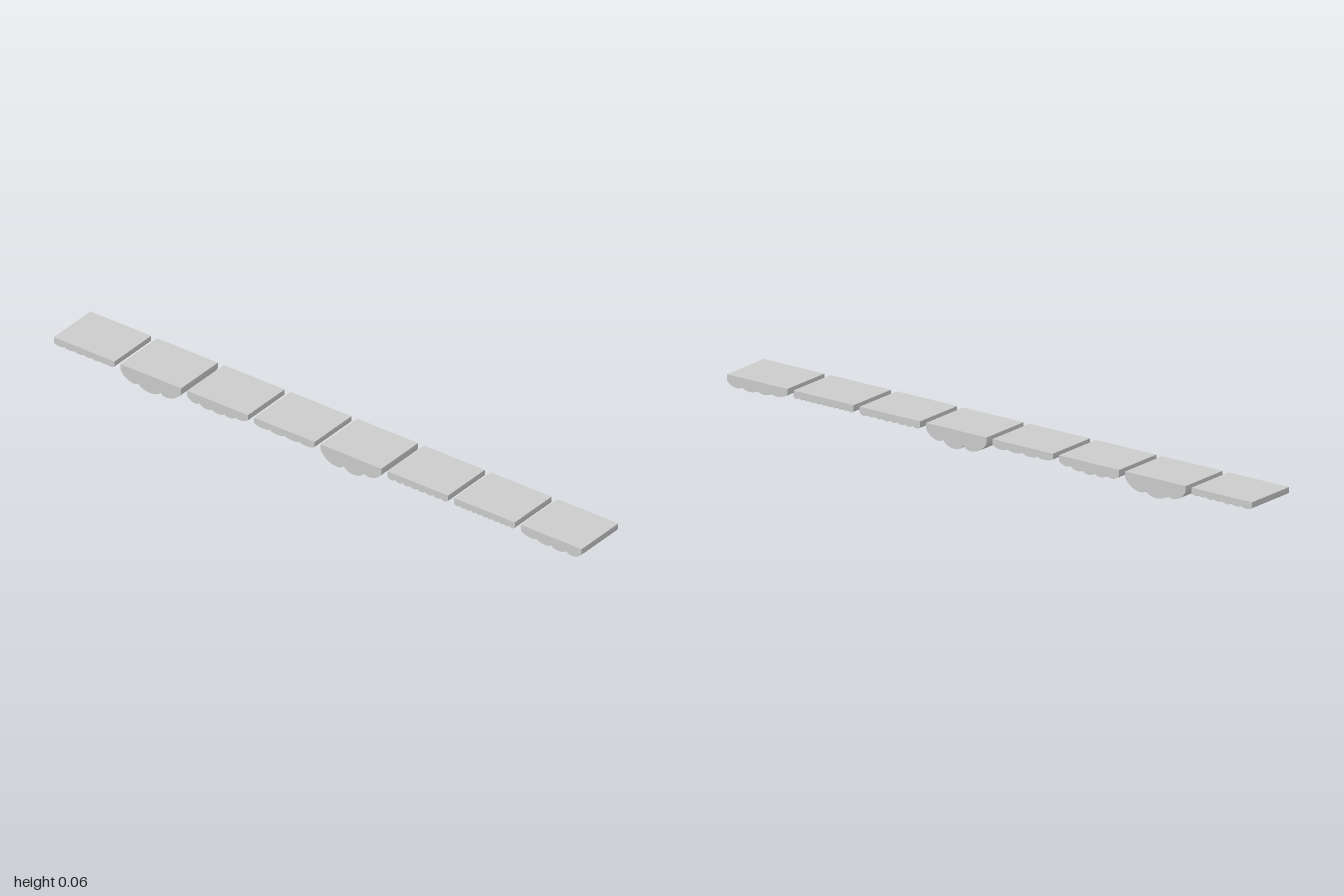
import * as THREE from 'three';
import { toCreasedNormals } from 'three/addons/utils/BufferGeometryUtils.js';

const TOP = 0.061, RIM = 0.044, WIDTH = 0.23, DEPTH = 0.184, PITCH = 0.2529;

// Evenly sized scallops; each lobe is [end fraction, end height, lowest height]
const even = (n, low) => Array.from({ length: n }, (_, i) => [(i + 1) / n, RIM - 0.001 * (i < n - 1), low]);

// Underside of each tile, from right (-x) to left (+x)
const TILES = [
  [[0.17, 0.042, 0.036], [0.34, 0.042, 0.036], [0.49, 0.042, 0.036], [0.63, 0.042, 0.037],
    [0.76, 0.042, 0.037], [0.88, 0.042, 0.038], [1, RIM, 0.038]],
  [[0.29, 0.02, 0.013], [0.66, 0.018, 0], [1, RIM, 0.01]],
  [[0.2, 0.036, 0.028], [0.4, 0.032, 0.023], [0.61, 0.032, 0.022], [0.8, 0.037, 0.025], [1, RIM, 0.032]],
  [[0.26, 0.041, 0.035], [0.51, 0.041, 0.033], [0.76, 0.041, 0.034], [1, RIM, 0.034]],
  [[0.38, 0.02, 0.007], [0.72, 0.023, 0], [1, RIM, 0.016]],
  even(8, 0.035),
  even(11, 0.036),
  [[0.26, 0.035, 0.029], [0.5, 0.033, 0.024], [0.75, 0.034, 0.022], [1, RIM, 0.025]],
];

// Flat-topped slab with a scalloped lower edge, extruded front to back
function tileGeometry(lobes) {
  const half = WIDTH / 2, steps = 14;
  const pts = [new THREE.Vector2(-half, TOP), new THREE.Vector2(-half, RIM)];
  let x0 = 0, y0 = RIM;
  for (const [x1, y1, low] of lobes) {
    const bulge = (y0 + y1) / 2 - low;
    for (let i = 1; i <= steps; i++) {
      // Cosine spacing keeps the lobe ends round
      const a = (Math.PI * i) / steps, t = (1 - Math.cos(a)) / 2;
      const drop = i === steps ? 0 : bulge * Math.pow(Math.sin(a), 1.2);
      const y = y0 + (y1 - y0) * t - drop;
      pts.push(new THREE.Vector2(-half + WIDTH * (x0 + (x1 - x0) * t), Math.max(0, y)));
    }
    x0 = x1;
    y0 = y1;
  }
  pts.push(new THREE.Vector2(half, TOP));
  const geo = new THREE.ExtrudeGeometry(new THREE.Shape(pts), { depth: DEPTH, bevelEnabled: false });
  geo.translate(0, 0, -DEPTH / 2);
  return toCreasedNormals(geo, 0.6);
}

export function createModel() {
  const model = new THREE.Group();
  model.name = 'scallopedTileRow';
  const material = new THREE.MeshStandardMaterial({ color: 0xcccccc });
  TILES.forEach((lobes, i) => {
    const tile = new THREE.Mesh(tileGeometry(lobes), material);
    tile.name = `scallopedTile${i + 1}`;
    tile.position.x = (i - (TILES.length - 1) / 2) * PITCH;
    model.add(tile);
  });
  return model;
}
